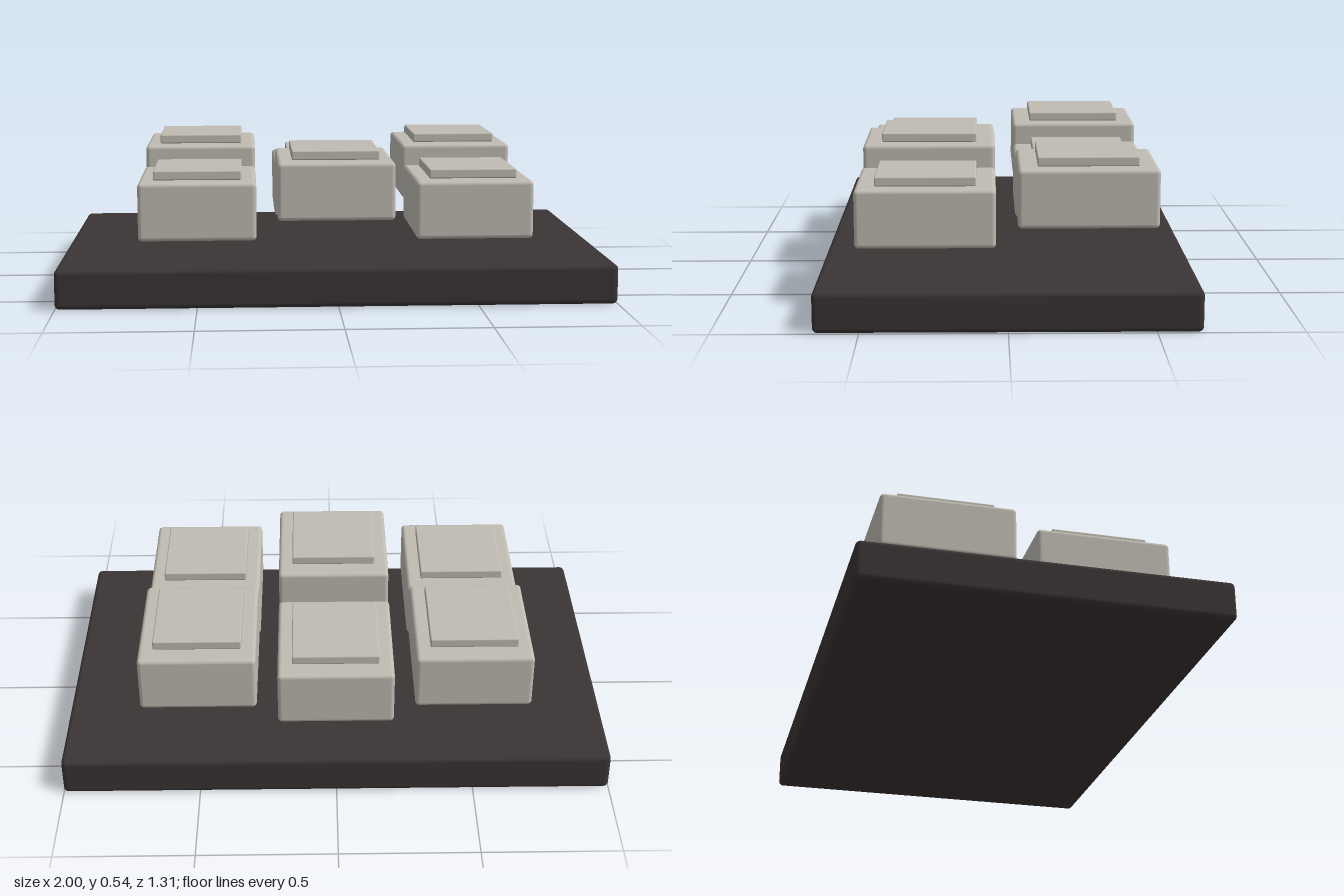
import * as THREE from 'three';
import { RoundedBoxGeometry } from 'three/addons/geometries/RoundedBoxGeometry.js';

export function createModel() {
  const model = new THREE.Group();
  model.name = 'keypad';

  const baseMaterial = new THREE.MeshStandardMaterial({ color: 0x3b3434 });
  baseMaterial.name = 'dark brown';
  const keyMaterial = new THREE.MeshStandardMaterial({ color: 0xc0bcb3 });
  keyMaterial.name = 'warm grey';

  // Rounded block standing on the given height
  function block(name, w, h, d, radius, bottom, material) {
    const mesh = new THREE.Mesh(new RoundedBoxGeometry(w, h, d, 3, radius), material);
    mesh.name = name;
    mesh.position.y = bottom + h / 2;
    return mesh;
  }

  // Base slab
  model.add(block('base', 2, 0.143, 1.314, 0.018, 0, baseMaterial));

  // Two rows of three floating keys, alternating low and high
  for (let row = 0; row < 2; row++) {
    for (let col = 0; col < 3; col++) {
      const raised = (row + col) % 2 === 0;
      const key = new THREE.Group();
      key.name = `key${row * 3 + col + 1}`;
      key.add(block('keyBody', 0.424, 0.21, 0.496, 0.015, 0, keyMaterial));
      key.add(block('keyCap', 0.318, 0.034, 0.357, 0.005, 0.212, keyMaterial));
      key.position.set((col - 1) * 0.5, raised ? 0.29 : 0.22, row === 0 ? -0.286 : 0.286);
      model.add(key);
    }
  }

  return model;
}
